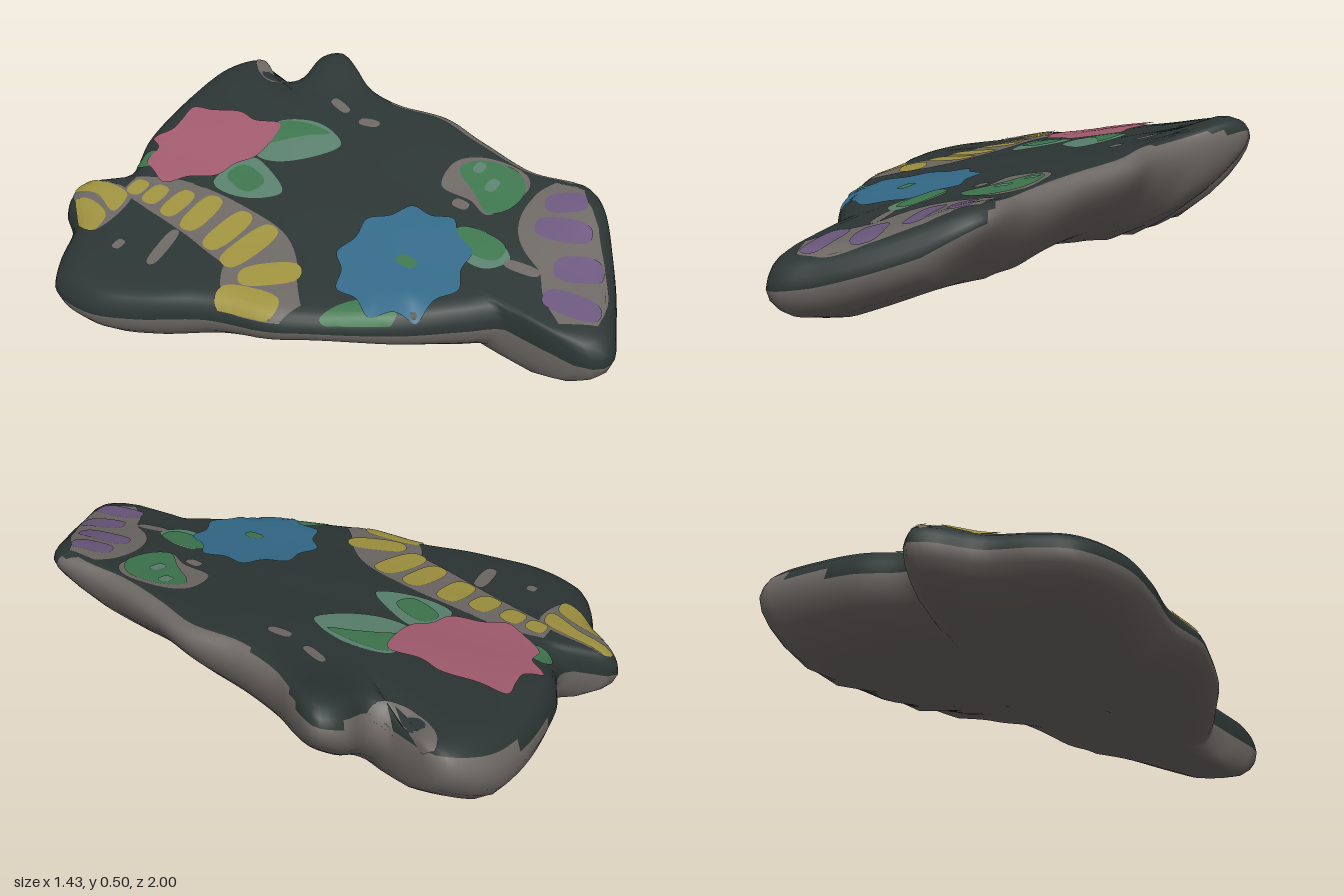
import * as THREE from 'three';

const mat = (name, color) => {
  const m = new THREE.MeshStandardMaterial({ color });
  m.name = name;
  return m;
};

// Broken edge of the slab, as x,z pairs
const EDGE = [
  -.32, -1, -.23, -.88, -.17, -.865, 0, -.94, .3, -.98, .48, -.95, .58, -.85, .55, -.76, .52, -.68, .545, -.615,
  .655, -.605, .71, -.545, .675, -.45, .6, -.32, .57, -.16, .59, .03, .545, .21, .5, .45, .51, .645, .465, .725,
  .3, .85, .14, .94, 0, .995, -.055, .95, -.075, .82, -.07, .67, -.155, .565, -.31, .385, -.445, .16, -.5, .05,
  -.55, -.16, -.655, -.37, -.715, -.545, -.69, -.715, -.6, -.79, -.47, -.86, -.39, -.97];
const CX = 0.05, CZ = 0;

const loop = (flat, n) => {
  const pts = [];
  for (let i = 0; i < flat.length; i += 2) pts.push(new THREE.Vector3(flat[i], 0, flat[i + 1]));
  return new THREE.CatmullRomCurve3(pts, true, 'centripetal').getPoints(n).slice(0, n);
};

// Edge radius by angle around the centre
const polar = loop(EDGE, 720)
  .map(p => ({ a: Math.atan2(p.z - CZ, p.x - CX), r: Math.hypot(p.x - CX, p.z - CZ) }))
  .sort((p, q) => p.a - q.a);
function radius(a) {
  a = Math.atan2(Math.sin(a), Math.cos(a));
  const i = polar.findIndex(p => p.a > a);
  if (i <= 0) return polar[0].r;
  const p = polar[i - 1], q = polar[i];
  return p.r + (q.r - p.r) * (a - p.a) / (q.a - p.a || 1);
}

// Painted face, tilted up towards +x, with bumps and a dip at the notch
const bump = (x, z, bx, bz, w) => Math.exp(-((x - bx) ** 2 + (z - bz) ** 2) / w);
const top = (x, z) => 0.34 + 0.21 * x - 0.055 * z * z - 0.03 * z
  + 0.03 * bump(x, z, .62, -.52, .012) + 0.035 * bump(x, z, .45, .68, .03) - 0.06 * bump(x, z, .54, -.69, .006)
  + 0.003 * Math.sin(13 * x + 5 * z) * Math.sin(11 * z - 4 * x);
// Underside, arched across the middle and rising to the right edge and tip
const under = (x, z) => 0.033 + 0.075 * x + 0.1 * Math.exp(-(((z - .2) / .4) ** 2))
  + 0.7 * Math.max(0, x - .38)
  + 0.3 * Math.max(0, x - .12) * THREE.MathUtils.smoothstep(z, .3, .7);

// Side profile: [distance from centre, depth from face to underside]
const FACE = [0, .1, .2, .3, .4, .5, .6, .7, .8, .88].map(s => [s, 0]);
const RIM = [[.92, .015], [.95, .05], [.975, .12], [.992, .23], [1, .36]];
const BASE = [[.988, .53], [.96, .68], [.915, .82], [.84, .94], [.74, 1], [.6, 1], [.4, 1], [.2, 1], [0, 1]];
const UPPER = [...FACE, ...RIM];

const depthAt = s => {
  const i = Math.max(1, UPPER.findIndex(p => p[0] >= s));
  const [s0, d0] = UPPER[i - 1], [s1, d1] = UPPER[i];
  return d0 + (d1 - d0) * (s - s0) / (s1 - s0);
};

// Drape a painted point over the face
function drape(x, z, lift) {
  const a = Math.atan2(z - CZ, x - CX), R = radius(a);
  const s = Math.min(Math.hypot(x - CX, z - CZ) / R, .985);
  x = CX + Math.cos(a) * s * R;
  z = CZ + Math.sin(a) * s * R;
  return [x, THREE.MathUtils.lerp(top(x, z), under(x, z), depthAt(s)) + lift, z];
}

// Surface from rows of points; pick chooses the material of each quad
function grid(rows, closed, pick = () => 0) {
  const cols = rows[0].length, idx = [[], []];
  for (let i = 0; i < rows.length - 1; i++)
    for (let j = 0; j < cols - (closed ? 0 : 1); j++) {
      const k = (j + 1) % cols;
      const a = i * cols + j, b = i * cols + k, c = a + cols, d = b + cols;
      idx[pick(i, rows[i][j])].push(a, b, c, b, d, c);
    }
  const g = new THREE.BufferGeometry();
  g.setAttribute('position', new THREE.Float32BufferAttribute(rows.flat(2), 3));
  g.setIndex([...idx[0], ...idx[1]]);
  g.addGroup(0, idx[0].length, 0);
  if (idx[1].length) g.addGroup(idx[0].length, idx[1].length, 1);
  g.computeVertexNormals();
  return g;
}

export function createModel() {
  const model = new THREE.Group();
  const dark = mat('dark glaze', 0x2c3634), clay = mat('grey clay', 0x6e6965);
  const rose = mat('rose paint', 0xa35d70), blue = mat('blue paint', 0x346b8a);
  const yellow = mat('yellow paint', 0xa09340), green = mat('green paint', 0x3f774f);
  const pale = mat('pale green paint', 0x5b836f), purple = mat('purple paint', 0x6c587e);
  const add = (name, geo, material) => {
    const m = new THREE.Mesh(geo, material);
    m.name = name;
    model.add(m);
  };

  // Slab: glazed face and rim, bare clay sides and underside
  const N = 240;
  const rows = [...UPPER, ...BASE].map(([s, d]) => Array.from({ length: N }, (_, j) => {
    const a = j / N * Math.PI * 2, r = radius(a) * s;
    const x = CX + Math.cos(a) * r, z = CZ + Math.sin(a) * r;
    return [x, THREE.MathUtils.lerp(top(x, z), under(x, z), d), z];
  }));
  // The glaze stops higher up on the right edge, lower on the left and tip
  const glazeEnd = (x, z) => {
    if (x > .62 && z < -.45) return 3;
    if (x > .4 && z > -.4 && z < .58) return z > -.2 ? 0 : 1;
    if (x > .3 && z < .64) return 2;
    return x > .1 && z < 0 ? 3 : 4;
  };
  add('slab', grid(rows, true, (i, [x, , z]) => i >= FACE.length + glazeEnd(x, z) ? 1 : 0), [dark, clay]);

  // Painted patch with a closed outline
  const patch = (name, material, flat, layer = 1, n = 64) => {
    const pts = loop(flat, n);
    const area = pts.reduce((t, p, i) => { const q = pts[(i + 1) % n]; return t + p.x * q.z - q.x * p.z; }, 0);
    if (area < 0) pts.reverse();
    const cx = pts.reduce((t, p) => t + p.x, 0) / n, cz = pts.reduce((t, p) => t + p.z, 0) / n;
    const rings = [0, .2, .4, .6, .8, 1].map(s =>
      pts.map(p => drape(cx + (p.x - cx) * s, cz + (p.z - cz) * s, .003 * layer)));
    add(name, grid(rings, true), material);
  };
  // Oval brush dab; turn is the angle of its long axis from x towards z
  const dab = (name, material, x, z, rx, rz, turn = 0, layer = 2) => {
    const c = Math.cos(turn), s = Math.sin(turn), flat = [];
    for (let i = 0; i < 12; i++) {
      const a = i / 12 * Math.PI * 2;
      const u = rx * Math.sign(Math.cos(a)) * Math.abs(Math.cos(a)) ** .7;
      const v = rz * Math.sign(Math.sin(a)) * Math.abs(Math.sin(a)) ** .7;
      flat.push(x + u * c - v * s, z + u * s + v * c);
    }
    patch(name, material, flat, layer, 32);
  };
  // Band along a path of [x, z, half width]
  const band = (name, material, path) => {
    const curve = new THREE.CatmullRomCurve3(path.map(([x, z, w]) => new THREE.Vector3(x, w, z)));
    const strip = [];
    for (let i = 0; i <= 50; i++) {
      const p = curve.getPoint(i / 50), t = curve.getTangent(i / 50), l = Math.hypot(t.x, t.z);
      strip.push([-1, -.66, -.33, 0, .33, .66, 1].map(k =>
        drape(p.x - t.z / l * p.y * k, p.z + t.x / l * p.y * k, .003)));
    }
    add(name, grid(strip, false), material);
  };

  // Bare clay in the notch
  patch('notchClay', clay, [.56, -.83, .51, -.81, .465, -.74, .45, -.67, .48, -.61, .54, -.6, .56, -.63, .53, -.69, .57, -.78]);

  // Rose flower and its leaves
  patch('roseFlower', rose, [-.12, -.81, -.05, -.82, -.01, -.88, .05, -.84, .11, -.845, .185, -.855, .2, -.77, .235, -.66,
    .22, -.58, .245, -.48, .16, -.45, .06, -.45, 0, -.49, -.08, -.51, -.13, -.6, -.19, -.66, -.16, -.74], 3, 110);
  patch('roseLeafLeft', pale, [-.11, -.5, 0, -.5, .06, -.46, .03, -.35, -.04, -.25, -.1, -.31, -.13, -.42]);
  dab('roseLeafLeftCore', green, -.04, -.41, .05, .075, .3);
  patch('roseLeafRight', pale, [.08, -.46, .25, -.5, .31, -.38, .29, -.26, .25, -.21, .16, -.26, .08, -.37]);
  patch('roseLeafRightCore', green, [.14, -.46, .25, -.49, .29, -.39, .28, -.28, .24, -.34, .19, -.4], 2);
  dab('roseBud', green, -.11, -.815, .045, .04);

  // Blue flower, its heart and leaves
  const petals = [];
  for (let i = 0; i < 18; i++) {
    const a = i / 18 * Math.PI * 2 + .2, r = i % 2 ? .205 : .235;
    petals.push(-.09 + Math.cos(a) * r * 1.03, .285 + Math.sin(a) * r * .92);
  }
  patch('blueLeafLeft', green, [-.41, .19, -.33, .22, -.27, .29, -.26, .38, -.3, .385, -.36, .31]);
  patch('blueLeafRight', pale, [.08, .36, .14, .38, .15, .48, .1, .57, .03, .53, .02, .46]);
  dab('blueLeafRightCore', green, .1, .45, .05, .095);
  patch('blueFlower', blue, petals, 3, 120);
  dab('blueFlowerHeart', green, -.09, .3, .022, .035, 0, 4);

  // Leaf near the right edge
  patch('edgeLeafGround', clay, [.26, .21, .38, .19, .44, .26, .45, .42, .4, .47, .28, .45, .22, .41, .25, .33]);
  patch('edgeLeaf', green, [.36, .22, .42, .26, .44, .4, .37, .47, .27, .46, .225, .41, .28, .33], 2);
  dab('edgeLeafSpot', pale, .34, .36, .03, .02, 0, 3);
  dab('edgeLeafSpot', pale, .39, .28, .025, .02, 0, 3);

  // Yellow petal border: [x, z, half length, half width, turn]
  band('yellowBorder', clay, [[-.25, -.78, .045], [-.235, -.64, .08], [-.24, -.5, .095], [-.265, -.3, .11],
    [-.3, -.15, .115], [-.4, -.05, .125], [-.46, .09, .06]]);
  [[-.25, -.735, .038, .034, 0], [-.25, -.65, .048, .038, .05], [-.25, -.545, .066, .04, .1],
    [-.25, -.435, .088, .045, .02], [-.27, -.3, .1, .045, .12], [-.29, -.19, .112, .048, .2],
    [-.355, -.05, .105, .048, .95], [-.475, -.05, .11, .048, 1.35]]
    .forEach(d => dab('yellowPetal', yellow, ...d));

  // Yellow corner motif
  patch('cornerGround', clay, [-.35, -.97, -.3, -.96, -.27, -.78, -.3, -.72, -.48, -.73, -.47, -.81, -.4, -.9]);
  patch('cornerPetalLeft', yellow, [-.38, -.92, -.37, -.85, -.41, -.74, -.485, -.73, -.48, -.8, -.43, -.87], 2);
  patch('cornerPetalRight', yellow, [-.34, -.97, -.3, -.96, -.28, -.8, -.3, -.74, -.38, -.73, -.34, -.85], 2);

  // Purple border at the tip
  band('purpleBorder', clay, [[0, .87, .06], [.08, .82, .1], [.18, .75, .105], [.28, .645, .13], [.38, .6, .1], [.46, .59, .05]]);
  [[.05, .82, .095, .045, 1.4], [.18, .775, .08, .05, 1.1], [.285, .66, .095, .045, 1.3], [.385, .615, .07, .042, 1.1]]
    .forEach(d => dab('purplePetal', purple, ...d));

  // Worn spots where the clay shows
  [[-.49, -.6, .022, .018, 0], [-.43, -.45, .085, .024, -.15], [.4, -.19, .04, .02, 1.4], [.43, -.34, .05, .018, 1.9],
    [.22, .31, .03, .02, 1.6], [.09, .62, .06, .02, 1.4]]
    .forEach(d => dab('wornSpot', clay, ...d, 1));

  return model;
}
